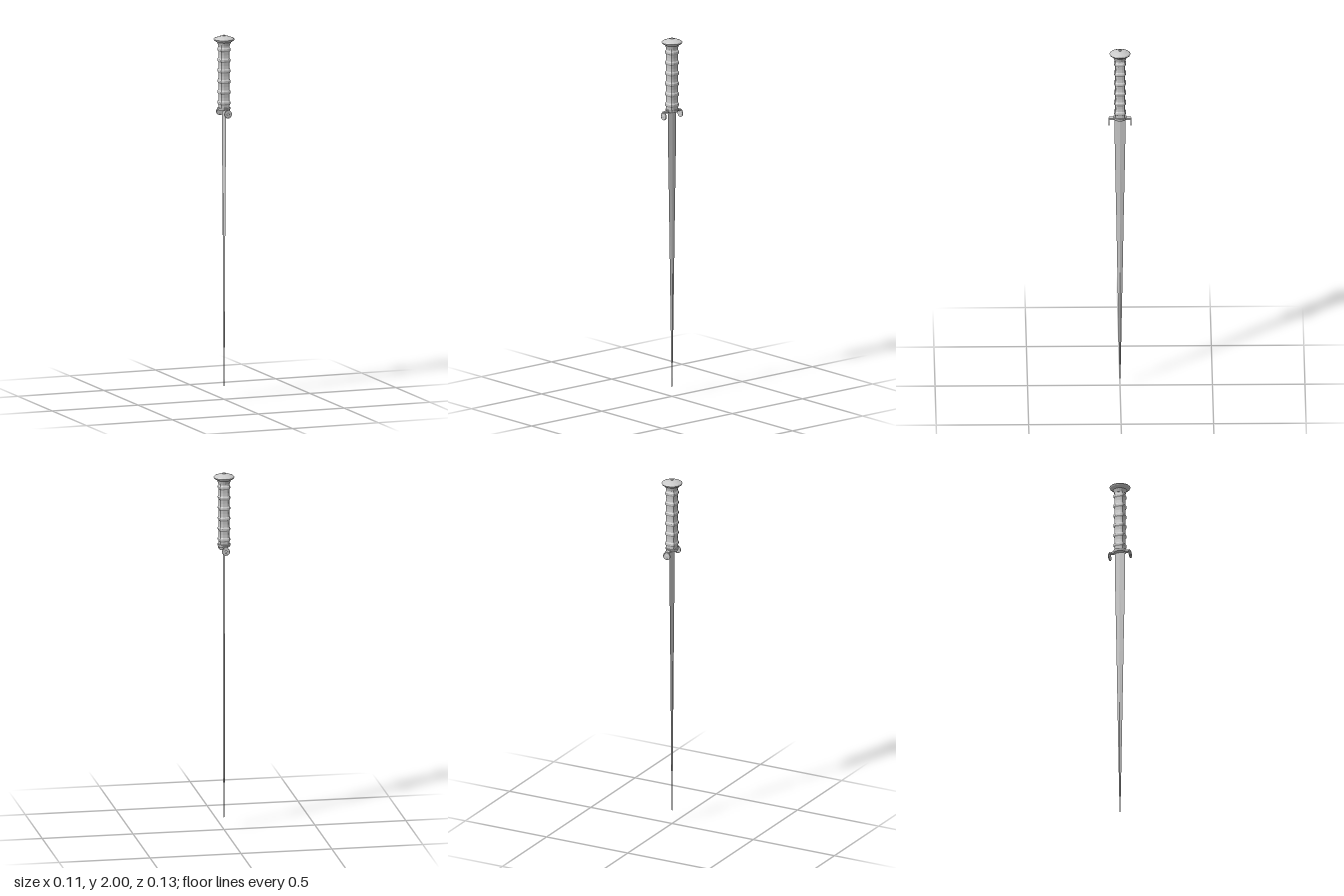
import * as THREE from 'three';

const steel = new THREE.MeshStandardMaterial({ color: 0xcccccc, flatShading: true, side: THREE.DoubleSide });

const lathe = (points, sides) =>
  new THREE.LatheGeometry(points.map(([r, y]) => new THREE.Vector2(r, y)), sides);

// Move every vertex of a geometry by a rule
function reshape(geometry, rule) {
  const p = geometry.attributes.position;
  const v = new THREE.Vector3();
  for (let i = 0; i < p.count; i++) {
    rule(v.fromBufferAttribute(p, i));
    p.setXYZ(i, v.x, v.y, v.z);
  }
  geometry.computeVertexNormals();
  return geometry;
}

export function createModel() {
  const group = new THREE.Group();
  const add = (name, geometry, x = 0, y = 0, z = 0) => {
    const mesh = new THREE.Mesh(geometry, steel);
    mesh.name = name;
    mesh.position.set(x, y, z);
    group.add(mesh);
    return mesh;
  };

  // Slender blade with a diamond section, pointing down
  const blade = lathe([[0, 0], [0.004, 0.12], [0.008, 0.32], [0.014, 0.65],
    [0.02, 1], [0.028, 1.4], [0.03, 1.6], [0, 1.6]], 4);
  add('blade', reshape(blade, (v) => {
    if (Math.abs(v.x) > 0.001) v.x = Math.sign(v.x) * Math.min(0.005, Math.abs(v.x) * 0.6);
  }));

  // Ribbed grip with a chamfered square section
  const rings = 6, bottom = 1.6, pitch = 0.35 / rings;
  const profile = [[0, bottom]];
  for (let i = 0; i < rings; i++) {
    const y = bottom + i * pitch;
    profile.push([0.027, y], [0.028, y + pitch * 0.3], [0.032, y + pitch * 0.42],
      [0.032, y + pitch * 0.58], [0.028, y + pitch * 0.7]);
  }
  profile.push([0.027, 1.95], [0, 1.95]);
  add('grip', reshape(lathe(profile, 16), (v) => {
    const r = Math.hypot(v.x, v.z);
    if (r < 0.001) return;
    const k = Math.min(1.2, r / Math.max(Math.abs(v.x), Math.abs(v.z)));
    v.x *= k;
    v.z *= k;
  }));

  // Flared pommel cap with a small button
  add('pommel', lathe([[0, 1.94], [0.031, 1.94], [0.035, 1.952], [0.038, 1.96],
    [0.054, 1.97], [0.057, 1.976], [0.052, 1.982], [0.03, 1.991], [0.009, 1.995],
    [0.008, 1.999], [0, 2]], 18));

  // Guard: collar, cross bar and medallions hanging from both ends
  add('collar', new THREE.CylinderGeometry(0.036, 0.033, 0.014, 16), 0, 1.595, 0);
  add('crossBar', new THREE.BoxGeometry(0.024, 0.008, 0.118), 0, 1.592, 0);
  for (const side of [1, -1]) {
    const z = side * 0.059;
    add('medallion', new THREE.CylinderGeometry(0.022, 0.022, 0.004, 16).rotateX(Math.PI / 2), 0, 1.572, z);
    add('medallionRim', new THREE.TorusGeometry(0.019, 0.003, 6, 16), 0, 1.572, z);
    add('medallionBoss', new THREE.SphereGeometry(0.008, 8, 6).scale(1, 1, 0.4), 0, 1.572, z + side * 0.001);
  }
  return group;
}
